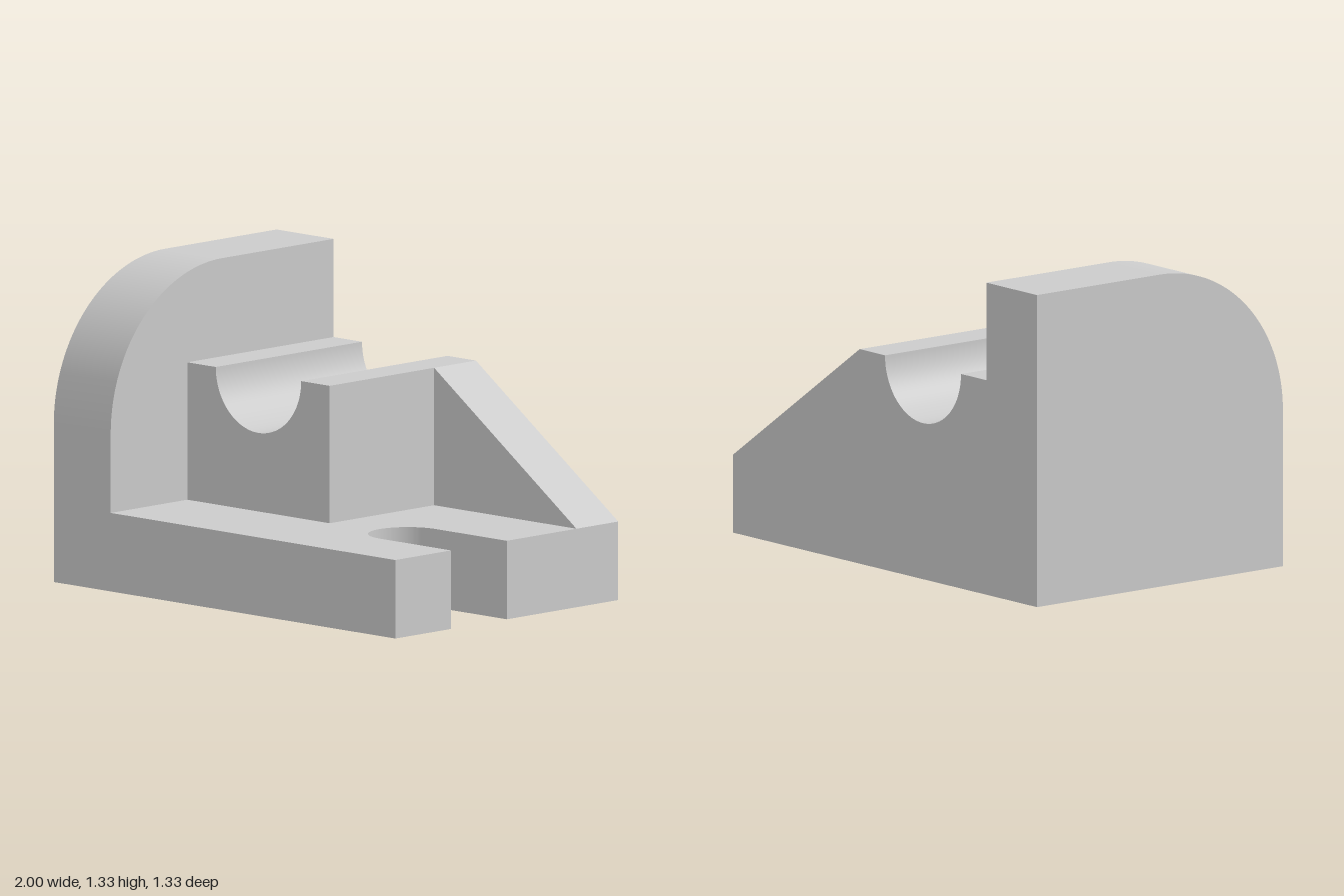
import * as THREE from 'three';
import { toCreasedNormals } from 'three/addons/utils/BufferGeometryUtils.js';

const U = 1 / 12; // design unit: the block is 24 x 16 x 16 units

export function createModel() {
  const group = new THREE.Group();
  const material = new THREE.MeshStandardMaterial({ color: 0xcccccc });

  // Extrude a profile drawn in design units, keeping hard edges sharp
  function addPart(name, shape, depth, place) {
    let geometry = new THREE.ExtrudeGeometry(shape, { depth, bevelEnabled: false, curveSegments: 32 });
    place(geometry);
    geometry.scale(U, U, U);
    geometry = toCreasedNormals(geometry, Math.PI / 6);
    const mesh = new THREE.Mesh(geometry, material);
    mesh.name = name;
    group.add(mesh);
  }

  // Base plate with an open-ended slot (profile in x, -z)
  const base = new THREE.Shape();
  base.moveTo(-8, -8);
  base.lineTo(12, -8);
  base.lineTo(12, -4);
  base.lineTo(7, -4);
  base.absarc(7, -2, 2, -Math.PI / 2, Math.PI / 2, true);
  base.lineTo(12, 0);
  base.lineTo(12, 8);
  base.lineTo(-8, 8);
  base.closePath();
  addPart('basePlate', base, 4, g => g.rotateX(-Math.PI / 2));

  // Upright side wall with a rounded front corner (profile in -z, y)
  const wall = new THREE.Shape();
  wall.moveTo(-8, 0);
  wall.lineTo(8, 0);
  wall.lineTo(8, 16);
  wall.lineTo(0, 16);
  wall.absarc(0, 8, 8, Math.PI / 2, Math.PI, false);
  wall.closePath();
  addPart('sideWall', wall, 4, g => g.rotateY(Math.PI / 2).translate(-12, 0, 0));

  // Bearing block with a half-round groove
  const saddle = new THREE.Shape();
  saddle.moveTo(-8, 4);
  saddle.lineTo(2, 4);
  saddle.lineTo(2, 11);
  saddle.lineTo(0, 11);
  saddle.absarc(-3, 11, 3, 0, Math.PI, true);
  saddle.lineTo(-8, 11);
  saddle.closePath();
  addPart('bearingBlock', saddle, 10.5, g => g.translate(0, 0, -8));

  // Triangular support rib
  const rib = new THREE.Shape();
  rib.moveTo(2, 4);
  rib.lineTo(12, 4);
  rib.lineTo(2, 11);
  rib.closePath();
  addPart('supportRib', rib, 3, g => g.translate(0, 0, -8));

  return group;
}
